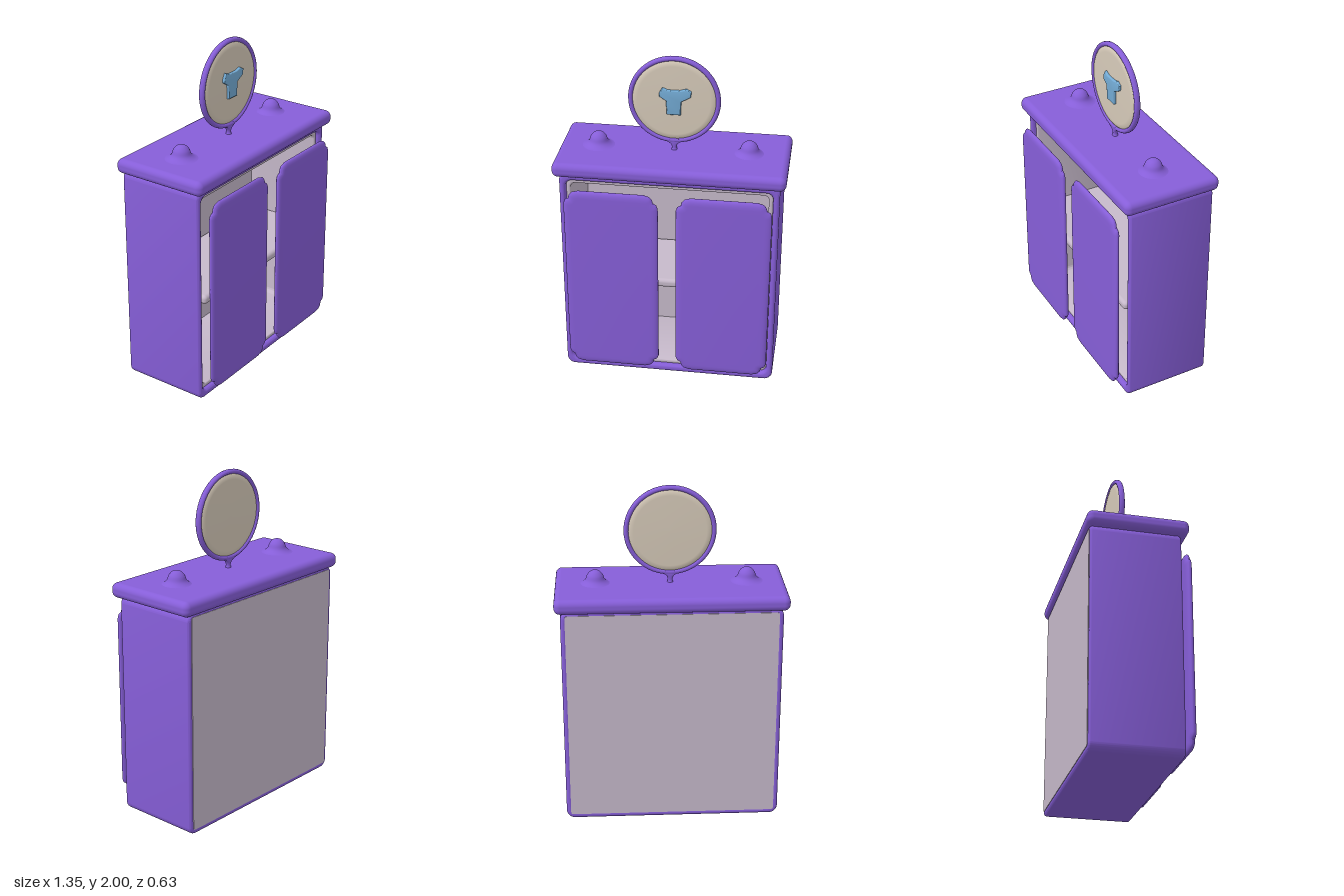
import * as THREE from 'three';
import { toCreasedNormals } from 'three/addons/utils/BufferGeometryUtils.js';
import { RoundedBoxGeometry } from 'three/addons/geometries/RoundedBoxGeometry.js';

const material = (name, color) => {
  const m = new THREE.MeshStandardMaterial({ color });
  m.name = name;
  return m;
};

// Rounded rectangle between two corners
function roundedRect(x0, y0, x1, y1, r, Type = THREE.Shape) {
  const s = new Type();
  s.absarc(x1 - r, y0 + r, r, -Math.PI / 2, 0);
  s.absarc(x1 - r, y1 - r, r, 0, Math.PI / 2);
  s.absarc(x0 + r, y1 - r, r, Math.PI / 2, Math.PI);
  s.absarc(x0 + r, y0 + r, r, Math.PI, Math.PI * 1.5);
  s.closePath();
  return s;
}

// Door outline with a small step at every corner
function doorShape(w, h) {
  const s = new THREE.Shape();
  const a = w / 2, b = h / 2;
  const corner = [[0, 0.085], [0.008, 0.062], [0.028, 0.05], [0.034, 0.028], [0.05, 0.01], [0.085, 0]];
  const pts = [];
  for (const [sx, sy, flip] of [[1, 1, 0], [-1, 1, 1], [-1, -1, 0], [1, -1, 1]]) {
    const list = flip ? [...corner].reverse() : corner;
    for (const [dx, dy] of list) pts.push(new THREE.Vector2(sx * (a - dx), sy * (b - dy)));
  }
  s.setFromPoints(pts);
  return s;
}

// Extrusion from z0 to z1 whose bevel stays inside the outline
function slab(shape, z0, z1, bevel, bevelDepth = bevel, segments = 5) {
  const g = new THREE.ExtrudeGeometry(shape, {
    depth: z1 - z0 - 2 * bevelDepth, curveSegments: 8, bevelEnabled: bevel > 0,
    bevelSize: bevel, bevelThickness: bevelDepth, bevelOffset: -bevel, bevelSegments: segments,
  });
  g.translate(0, 0, z0 + bevelDepth);
  return toCreasedNormals(g, 0.75);
}

export function createModel() {
  const group = new THREE.Group();
  const purple = material('purple paint', 0x865ed8);
  const mauve = material('pale mauve panel', 0xc6b9ca);
  const cream = material('cream disc', 0xd6cab9);
  const blue = material('blue emblem', 0x74acd6);

  const add = (name, geometry, mat, x = 0, y = 0, z = 0) => {
    const mesh = new THREE.Mesh(geometry, mat);
    mesh.name = name;
    mesh.position.set(x, y, z);
    group.add(mesh);
    return mesh;
  };

  // Cabinet shell, open at the front
  const shell = roundedRect(-0.638, 0.005, 0.638, 1.345, 0.05);
  shell.holes.push(roundedRect(-0.6, 0.05, 0.6, 1.3, 0.04, THREE.Path));
  add('cabinetShell', slab(shell, -0.29, 0.24, 0.018), purple);

  // Inner lining, back panel and shelf
  const lining = roundedRect(-0.6, 0.05, 0.6, 1.3, 0.04);
  lining.holes.push(roundedRect(-0.575, 0.075, 0.575, 1.275, 0.03, THREE.Path));
  add('innerLining', slab(lining, -0.27, 0.215, 0.008), mauve);
  add('backPanel', slab(roundedRect(-0.612, 0.035, 0.612, 1.325, 0.015), -0.293, -0.25, 0), mauve);
  add('shelf', new RoundedBoxGeometry(1.16, 0.055, 0.485, 3, 0.022), mauve, 0, 0.648, 0);

  // Two floating doors
  const door = slab(doorShape(0.55, 1.19), 0.278, 0.314, 0.04, 0.0165);
  for (const [name, x] of [['leftDoor', 0.327], ['rightDoor', -0.327]]) {
    add(name, door, purple, x, 0.675, 0);
  }

  // Overhanging top
  add('topBoard', new RoundedBoxGeometry(1.345, 0.088, 0.595, 5, 0.036), purple, 0, 1.377, -0.014);

  // Soft bumps on the top
  const bumpProfile = new THREE.SplineCurve([
    [0.125, 0], [0.085, 0.008], [0.058, 0.028], [0.046, 0.058], [0.026, 0.08], [0, 0.087],
  ].map(([x, y]) => new THREE.Vector2(x, y))).getPoints(20);
  bumpProfile[20].x = 0;
  const bump = new THREE.LatheGeometry(bumpProfile, 28);
  add('leftBump', bump, purple, 0.437, 1.413, -0.015);
  add('rightBump', bump, purple, -0.447, 1.416, -0.015);

  // Round sign: rim, domed disc and stem
  const signY = 1.734, signZ = -0.014;
  const rim = new THREE.TorusGeometry(0.253, 0.0145, 12, 64);
  rim.scale(1, 1, 1.25);
  add('signRim', rim, purple, 0, signY, signZ);
  const discProfile = [
    [0, -0.019], [0.21, -0.018], [0.235, -0.013], [0.25, 0], [0.235, 0.013], [0.21, 0.018], [0, 0.019],
  ].map(([x, y]) => new THREE.Vector2(x, y));
  const disc = new THREE.LatheGeometry(discProfile, 64);
  disc.rotateX(Math.PI / 2);
  add('signDisc', disc, cream, 0, signY, signZ);
  const stemProfile = [
    [0.024, 1.41], [0.015, 1.425], [0.014, 1.44], [0.02, 1.458], [0.036, 1.47], [0.058, 1.482], [0.03, 1.492], [0, 1.495],
  ].map(([x, y]) => new THREE.Vector2(x, y));
  const stem = new THREE.LatheGeometry(stemProfile, 24);
  // Flatten the flare so it blends into the rim
  const p = stem.attributes.position;
  for (let i = 0; i < p.count; i++) {
    if (p.getY(i) > 1.445) p.setZ(i, THREE.MathUtils.clamp(p.getZ(i), -0.016, 0.016));
  }
  stem.computeVertexNormals();
  add('signStem', stem, purple, 0, 0, signZ);

  // Raised shirt emblem
  const shirt = new THREE.Shape();
  const outline = [
    [-0.045, 1.738], [-0.085, 1.763], [-0.083, 1.785], [-0.066, 1.816], [-0.035, 1.803], [0.035, 1.803],
    [0.073, 1.814], [0.102, 1.798], [0.097, 1.765], [0.043, 1.735], [0.04, 1.652], [-0.04, 1.652],
  ];
  shirt.setFromPoints(outline.reverse().map(([x, y]) => new THREE.Vector2(x, y)));
  add('shirtEmblem', slab(shirt, -0.002, 0.02, 0.006, 0.006, 3), blue);

  return group;
}
